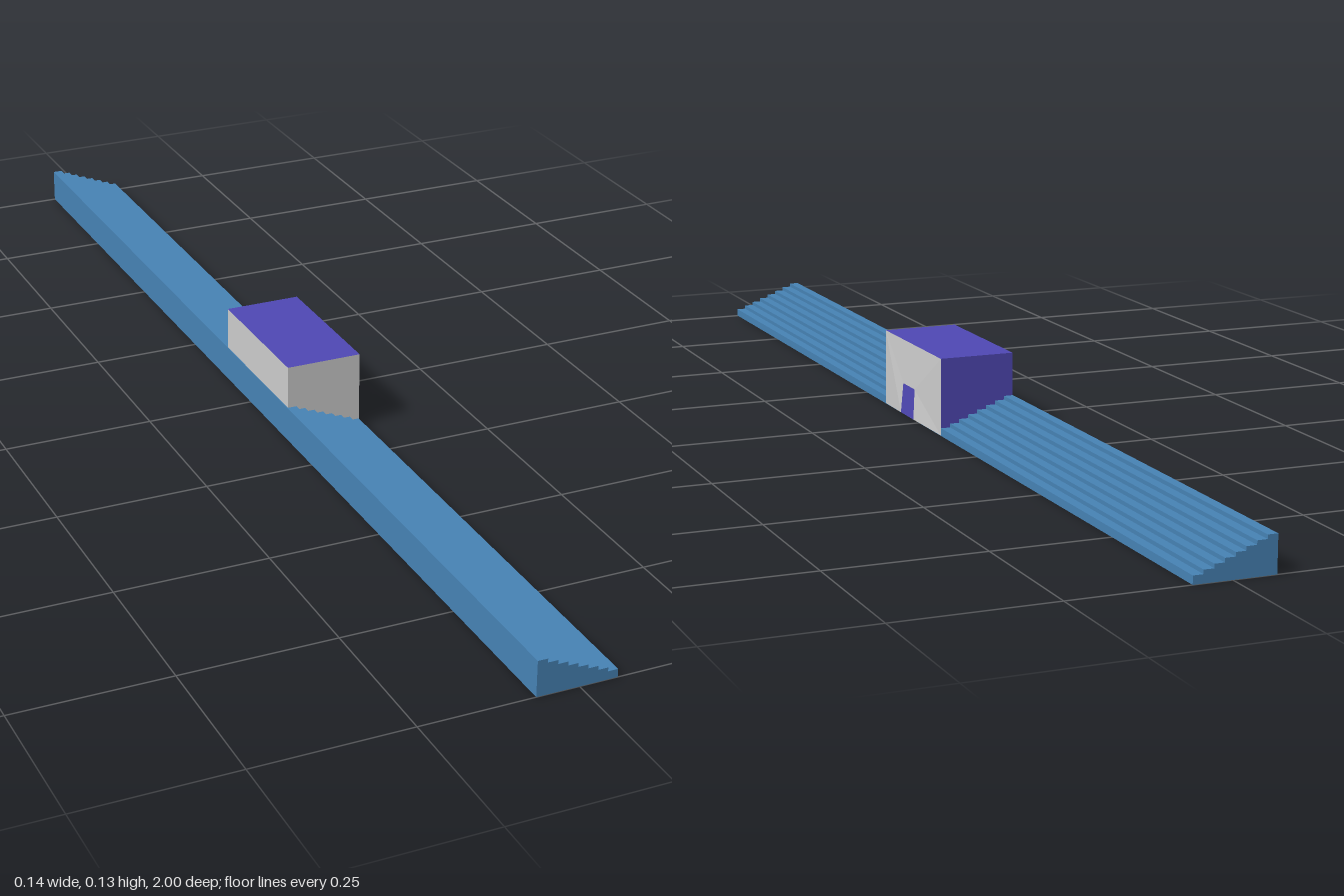
import * as THREE from 'three';

const material = (color) =>
  new THREE.MeshStandardMaterial({ color, flatShading: true, side: THREE.DoubleSide });

// Flat-shaded surface from a list of four-cornered faces
function quads(faces) {
  const points = faces.flatMap(([a, b, c, d]) => [a, b, c, a, c, d]).flat();
  const geometry = new THREE.BufferGeometry();
  geometry.setAttribute('position', new THREE.Float32BufferAttribute(points, 3));
  geometry.computeVertexNormals();
  return geometry;
}

export function createModel() {
  const model = new THREE.Group();
  const blue = material(0x4682b4);
  const purple = material(0x4f48b4);
  const grey = material(0xcccccc);

  const add = (parent, name, geometry, mat) => {
    const mesh = new THREE.Mesh(geometry, mat);
    mesh.name = name;
    parent.add(mesh);
    return mesh;
  };

  // Long stepped stand, extruded along z
  const left = -0.068, right = 0.0605, steps = 8;
  const tread = (right - left) / steps, top = 0.058, rise = 0.0064;
  const profile = new THREE.Shape();
  profile.moveTo(left, 0);
  for (let i = 0; i < steps; i++) {
    const y = top - i * rise;
    profile.lineTo(left + i * tread, y);
    profile.lineTo(left + (i + 1) * tread, y);
  }
  profile.lineTo(right, 0);
  const stand = new THREE.ExtrudeGeometry(profile, { depth: 2, bevelEnabled: false });
  stand.translate(0, 0, -1);
  add(model, 'steppedStand', stand, blue);

  // Booth: corner points at its floor and roof
  const booth = new THREE.Group();
  booth.name = 'booth';
  model.add(booth);
  const x0 = -0.067, x1 = 0.061, y0 = 0.001, y1 = 0.13, zBack = -0.1, zFront = 0.153;
  const bl = [x0, y0, zBack], br = [x1, y0, zBack], fr = [x1, y0, zFront], fl = [x0, y0, zFront];
  const up = ([x, , z]) => [x, y1, z];

  add(booth, 'roof', quads([[up(fl), up(fr), up(br), up(bl)]]), purple);
  add(booth, 'backWall', quads([[br, bl, up(bl), up(br)]]), purple);
  add(booth, 'frontWall', quads([[fl, fr, up(fr), up(fl)]]), grey);
  add(booth, 'rearSideWall', quads([[bl, fl, up(fl), up(bl)]]), grey);

  // Door leaf, pushed out a little at its foot
  const door = [[0.068, 0.005, 0.064], [0.068, 0.005, 0.006], [0.0645, 0.056, 0.009], [0.0645, 0.056, 0.061]];
  add(booth, 'door', quads([door]), purple);

  // Wall around the door, joining the outer corners to the door corners
  const rim = [fr, br, up(br), up(fr)];
  const ring = rim.map((p, i) => {
    const j = (i + 1) % 4;
    return [p, rim[j], door[j], door[i]];
  });
  add(booth, 'doorWall', quads(ring), grey);

  return model;
}
